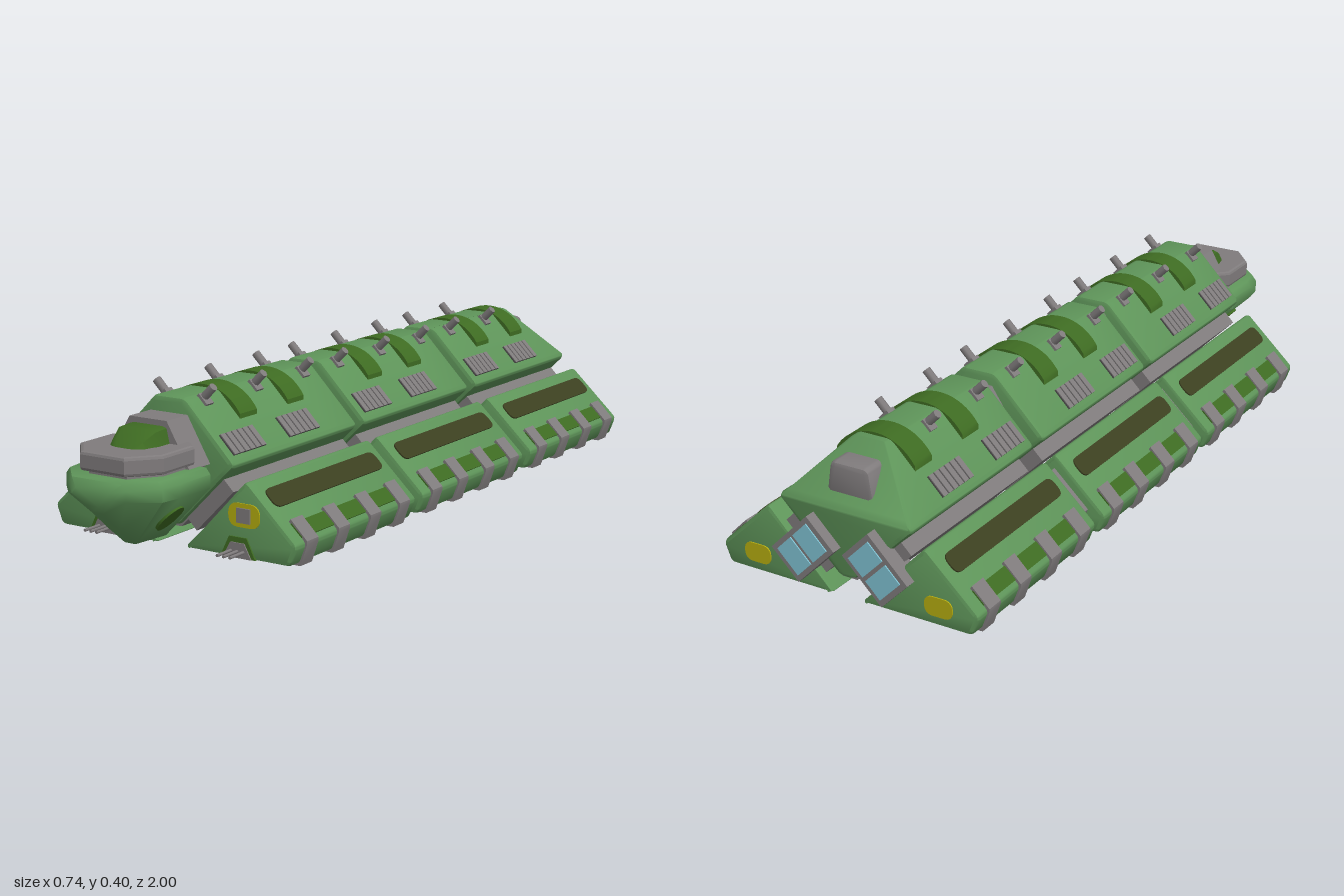
import * as THREE from 'three';
import { toCreasedNormals } from 'three/addons/utils/BufferGeometryUtils.js';

const material = (name, color) => {
  const m = new THREE.MeshStandardMaterial({ color });
  m.name = name;
  return m;
};
const V = (x, y) => new THREE.Vector2(x, y);

// closed outline with every corner rounded by radius r
function outline(points, r) {
  const p = points.map(([x, y]) => V(x, y));
  const shape = new THREE.Shape();
  p.forEach((c, i) => {
    const a = p[(i + p.length - 1) % p.length], b = p[(i + 1) % p.length];
    const toward = (q) => c.clone().add(q.clone().sub(c).setLength(r));
    const s = toward(a), e = toward(b);
    if (i === 0) shape.moveTo(s.x, s.y); else shape.lineTo(s.x, s.y);
    if (r > 0) shape.quadraticCurveTo(c.x, c.y, e.x, e.y);
  });
  shape.closePath();
  return shape;
}

// outline extruded from z0 to z1, ends softened by bevel
function prism(points, z0, z1, r = 0, bevel = 0, steps = 1) {
  const g = new THREE.ExtrudeGeometry(outline(points, r), {
    depth: z1 - z0 - 2 * bevel, steps, curveSegments: 5,
    bevelEnabled: bevel > 0, bevelSize: bevel, bevelThickness: bevel,
    bevelOffset: -bevel, bevelSegments: 2,
  });
  return g.translate(0, 0, z0 + bevel);
}

// skin over cross-sections running from back to front
function loft(rings) {
  const pos = rings.flat(2), idx = [], n = rings[0].length, last = (rings.length - 1) * n;
  for (let k = 0; k < rings.length - 1; k++) for (let i = 0; i < n; i++) {
    const a = k * n + i, b = k * n + (i + 1) % n;
    idx.push(a, b, b + n, a, b + n, a + n);
  }
  for (let i = 1; i < n - 1; i++) idx.push(0, i + 1, i, last, last + i, last + i + 1);
  const g = new THREE.BufferGeometry();
  g.setAttribute('position', new THREE.Float32BufferAttribute(pos, 3));
  g.setIndex(idx);
  return g;
}

const mirrored = (half) => [...half, ...half.map(([x, y]) => [-x, y]).reverse()];
const scaled = (pts, cx, cy, s) => pts.map(([x, y]) => [cx + (x - cx) * s, cy + (y - cy) * s]);
const smooth = (g, angle = 0.7) => toCreasedNormals(g, angle);
const box = (w, h, d) => new THREE.BoxGeometry(w, h, d);

export function createModel() {
  const root = new THREE.Group();
  const green = material('hull green', 0x5e9459);
  const dark = material('dark green', 0x3e6b22);
  const olive = material('olive panel', 0x3c4020);
  const grey = material('metal grey', 0x7f7b7c);
  const shade = material('dark metal', 0x4c4a4b);
  const yellow = material('marking yellow', 0xb5ad10);
  const blue = material('engine blue', 0x7fc2d2);

  const add = (name, geo, mat, x = 0, y = 0, z = 0, rz = 0) => {
    const m = new THREE.Mesh(geo, mat);
    m.name = name;
    m.position.set(x, y, z);
    m.rotation.z = rz;
    root.add(m);
  };
  const pair = (name, geo, mat, x, y, z, rz = 0) => {
    add(name + 'Left', geo, mat, x, y, z, rz);
    add(name + 'Right', geo, mat, -x, y, z, -rz);
  };
  const pairPrism = (name, pts, mat, ...args) => {
    add(name + 'Left', smooth(prism(pts, ...args)), mat);
    add(name + 'Right', smooth(prism(pts.map(([x, y]) => [-x, y]), ...args)), mat);
  };

  const hull = mirrored([[0.02, 0.06], [0.148, 0.187], [0.19, 0.228], [0.046, 0.374]]);
  const belly = mirrored([[0.021, 0.055], [0.06, 0.094]]);
  const coupling = mirrored([[0.03, 0.1], [0.113, 0.185], [0.113, 0.23], [0.04, 0.34]]);
  const pod = [[0.04, 0.008], [0.22, 0.196], [0.365, 0.06], [0.345, 0.008]];
  const bracket = [[0.3215, 0.112], [0.368, 0.066], [0.368, 0.058], [0.349, 0.003], [0.21, 0.003], [0.29, 0.07]];
  const arch = new THREE.Shape();
  arch.moveTo(0.111, 0.29);
  arch.lineTo(0.111, 0.32);
  arch.absarc(0, 0.25, 0.131, 0.564, Math.PI - 0.564, false);
  arch.lineTo(-0.111, 0.29);
  arch.closePath();
  const archGeo = smooth(new THREE.ExtrudeGeometry(arch, { depth: 0.07, bevelEnabled: false, curveSegments: 16 }).translate(0, 0, -0.035));
  const patchGeo = new THREE.CylinderGeometry(0.05, 0.047, 0.007, 24).scale(1, 1, 1.4);
  const T = Math.PI / 4, podSlope = -0.753;
  const centres = [0.447, -0.123, -0.7];

  centres.forEach((c, k) => {
    const z0 = c - 0.268, z1 = c + 0.268, rear = k === 2;

    // central hull; the rear one slopes down at its tail
    const body = prism(hull, z0, z1, 0.014, 0.012, 5);
    if (rear) {
      const p = body.attributes.position;
      for (let i = 0; i < p.count; i++) {
        const limit = 0.374 - Math.max(0, -0.855 - p.getZ(i)) * 1.25;
        if (p.getY(i) <= limit) continue;
        p.setXY(i, Math.sign(p.getX(i)) * Math.max(Math.abs(p.getX(i)), 0.412 - limit), limit);
      }
    }
    add('hullSection', smooth(body), green);
    add('belly', prism(belly, z0 + 0.015, z1 - 0.015), grey);

    // side pods and the webs that carry them
    pairPrism('pod', pod, green, z0, z1, 0.012, 0.01);
    pair('podWeb', box(0.155, 0.043, 0.51), grey, 0.107, 0.122, c, T);

    // inset couplings toward the next section
    if (!rear) {
      add('hullCoupling', prism(coupling, z0 - 0.045, z0 + 0.01), grey);
      pairPrism('podCoupling', scaled(pod, 0.22, 0.085, 0.66), grey, z0 - 0.045, z0 + 0.01);
    }

    // roof arches and angled roof posts
    for (const d of [0.1, -0.1]) add('roofArch', archGeo, dark, 0, 0, c + d);
    for (const d of rear ? [0.205, 0] : [0.205, 0, -0.205]) {
      pair('roofPost', new THREE.CylinderGeometry(0.011, 0.011, 0.06, 8), grey, 0.064, 0.374, c + d, -T);
      pair('postBase', box(0.034, 0.016, 0.028), grey, 0.058, 0.36, c + d, -T);
    }

    // ribbed grilles on the hull slopes
    for (const d of [0.18, -0.05]) {
      pair('grille', box(0.06, 0.008, 0.13), shade, 0.15, 0.268, c + d, -T);
      for (let i = 0; i < 6; i++)
        pair('grilleRib', box(0.06, 0.012, 0.017), grey, 0.15, 0.268, c + d - 0.055 + i * 0.022, -T);
    }

    // pod panels, edge strips, brackets and underside patches
    pair('podPanel', prism([[-0.027, -0.235], [0.027, -0.235], [0.027, 0.235], [-0.027, 0.235]], -0.003, 0.003, 0.022)
      .rotateX(-Math.PI / 2), olive, 0.267, 0.153, c, podSlope);
    pair('edgeStrip', box(0.042, 0.014, 0.46), dark, 0.335, 0.083, c, podSlope);
    for (const d of [0.205, 0.07, -0.07, -0.205])
      pairPrism('bracket', bracket, grey, c + d - 0.024, c + d + 0.024);
    for (const d of [0.17, 0, -0.17]) pair('undersidePatch', patchGeo, dark, 0.165, 0.0075, c + d);
  });

  // markings: ringed hubs in front, plain and lower at the back
  const ring = outline([[-0.045, -0.029], [0.045, -0.029], [0.045, 0.029], [-0.045, 0.029]], 0.028);
  const ringGeo = new THREE.ExtrudeGeometry(ring, { depth: 0.004, bevelEnabled: false });
  pair('frontMarking', ringGeo, yellow, 0.218, 0.114, 0.714);
  pair('markingHub', box(0.038, 0.036, 0.012), grey, 0.218, 0.114, 0.716);
  pair('rearMarking', ringGeo.clone().scale(0.85, 0.85, 1), yellow, 0.257, 0.058, -0.971);

  // gun bays in the pod noses
  pairPrism('bayFrame', [[0.15, 0.01], [0.175, 0.06], [0.225, 0.06], [0.25, 0.01]], dark, 0.7, 0.719);
  pairPrism('gunBay', [[0.16, 0.01], [0.18, 0.047], [0.22, 0.047], [0.24, 0.01]], grey, 0.7, 0.722);
  for (const x of [0.182, 0.2, 0.218])
    pair('gun', new THREE.CylinderGeometry(0.004, 0.004, 0.06, 8).rotateX(Math.PI / 2), grey, x, 0.026, 0.746);

  // tail hatch, and engines that bridge hull and pods
  add('tailHatch', smooth(prism([[-0.068, 0.25], [0.068, 0.25], [0.054, 0.34], [-0.054, 0.34]], -0.942, -0.85, 0.016, 0.012)), grey);
  pair('engine', box(0.15, 0.105, 0.06), grey, 0.102, 0.122, -0.967, -T);
  for (const d of [-0.033, 0.033]) {
    const o = d * Math.SQRT1_2;
    pair('engineGlow', box(0.056, 0.08, 0.006), blue, 0.102 + o, 0.122 - o, -0.997, -T);
  }

  // cockpit nose with a keel
  const nose = [
    [0.745, 0.14, 0.22, 0.18, 0.052], [0.755, 0.15, 0.227, 0.18, 0.045], [0.87, 0.15, 0.227, 0.18, 0.05],
    [0.925, 0.142, 0.227, 0.18, 0.095], [0.985, 0.085, 0.225, 0.185, 0.148], [1, 0.062, 0.205, 0.19, 0.168],
  ].map(([z, w, top, side, low]) =>
    mirrored([[0.016, low], [w, side], [w, top - 0.015], [w - 0.012, top]]).map(([x, y]) => [x, y, z]));
  add('cockpitNose', smooth(loft(nose), 0.95), green);
  pair('noseVent', new THREE.CylinderGeometry(0.045, 0.045, 0.008, 20).scale(1, 1, 0.72), dark, 0.087, 0.115, 0.83, -3 * T);

  // collar, neck and canopy
  const deck = (w, front, y0, y1, bevel) => prism([
    [-w, -0.78], [-w, 0.07 - front], [-w * 0.52, -front], [w * 0.52, -front], [w, 0.07 - front], [w, -0.78],
    [w * 0.75, -0.75], [-w * 0.75, -0.75]], y0, y1, 0, bevel).rotateX(-Math.PI / 2);
  add('collarBase', deck(0.108, 0.945, 0.22, 0.24, 0), grey);
  add('collar', deck(0.124, 0.965, 0.235, 0.282, 0.008), grey);
  add('neck', prism([[-0.12, 0.225], [-0.055, 0.335], [0.055, 0.335], [0.12, 0.225]], 0.7, 0.795), grey);
  add('neckJoint', prism([[-0.06, 0.12], [-0.11, 0.23], [0.11, 0.23], [0.06, 0.12]], 0.7, 0.76), grey);
  const canopy = [[0.785, 0.066, 0.055, 0.322], [0.835, 0.066, 0.054, 0.319], [0.87, 0.058, 0.044, 0.3], [0.892, 0.04, 0.03, 0.28]]
    .map(([z, w, t, y]) => mirrored([[w, 0.27], [t, y - 0.004], [t - 0.012, y]]).map(([x, h]) => [x, h, z]));
  add('canopy', smooth(loft(canopy)), dark);

  return root;
}
